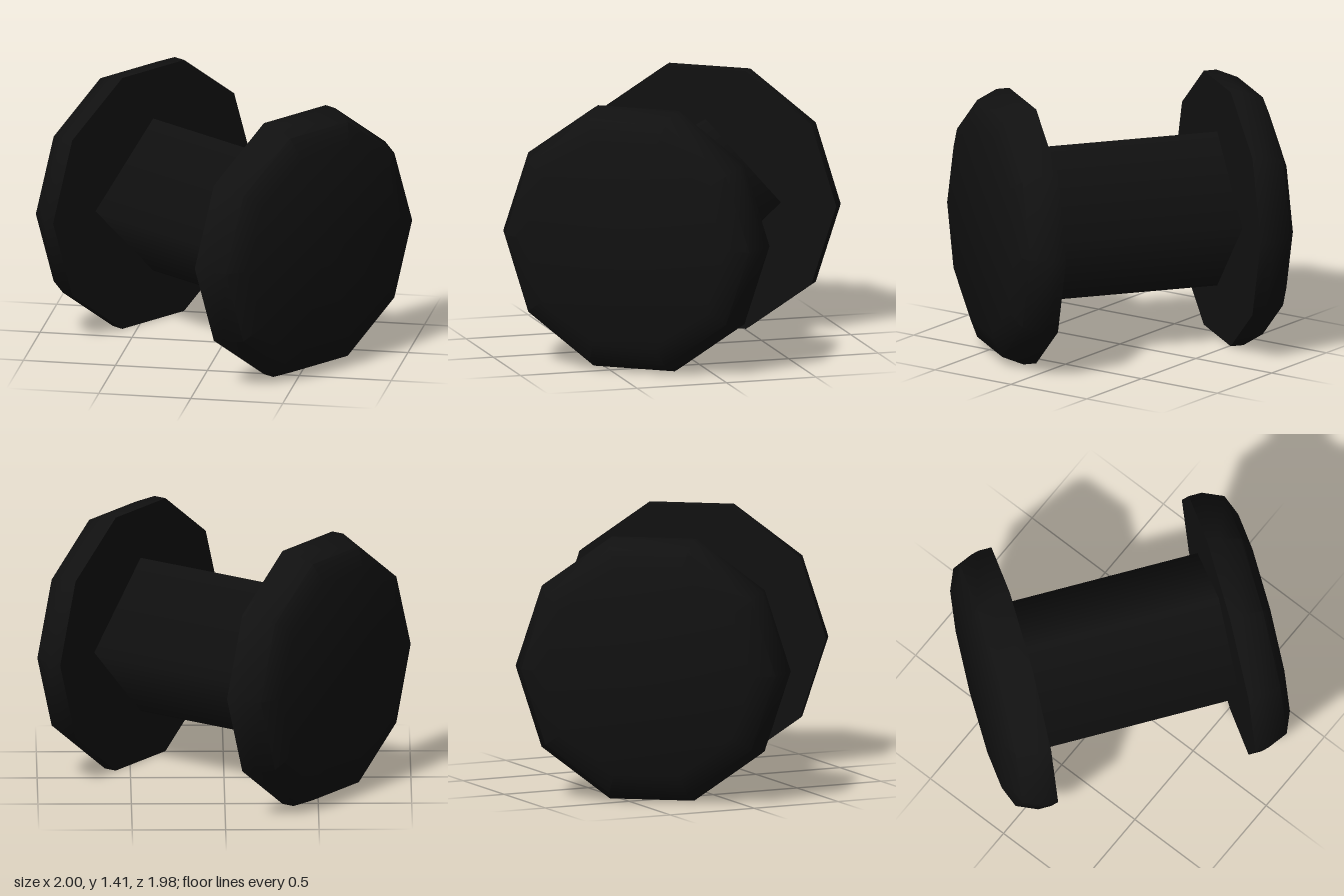
import * as THREE from 'three';
import { toCreasedNormals } from 'three/addons/utils/BufferGeometryUtils.js';

const CENTER_Y = 0.705;
const INNER = 0.548; // distance from the middle to each flange's inner face

export function createModel() {
  const model = new THREE.Group();
  model.name = 'spool';
  const material = new THREE.MeshStandardMaterial({ color: 0x111111 });

  // Spool axis lies along local x, turned 36 degrees in plan
  const spool = new THREE.Group();
  spool.name = 'spoolBody';
  spool.position.y = CENTER_Y;
  spool.rotation.y = -Math.PI / 5;
  model.add(spool);

  // Four-sided core with softly shaded sides
  const coreGeometry = new THREE.CylinderGeometry(0.427, 0.427, INNER * 2, 4, 1, true);
  coreGeometry.rotateZ(-Math.PI / 2);
  const core = new THREE.Mesh(coreGeometry, material);
  core.name = 'core';
  spool.add(core);

  // Ten-sided flange: flat inner face, rounded outer rim
  const profile = [
    [0, INNER], [0.741, INNER], [0.741, 0.62], [0.691, 0.734], [0.572, 0.785], [0, 0.785],
  ].map(([r, a]) => new THREE.Vector2(r, a));
  const flangeGeometry = toCreasedNormals(new THREE.LatheGeometry(profile, 10), 0.8);
  flangeGeometry.rotateZ(-Math.PI / 2);

  for (const [name, turn] of [['leftFlange', 0], ['rightFlange', Math.PI]]) {
    const flange = new THREE.Mesh(flangeGeometry, material);
    flange.name = name;
    flange.rotation.y = turn;
    spool.add(flange);
  }

  return model;
}
